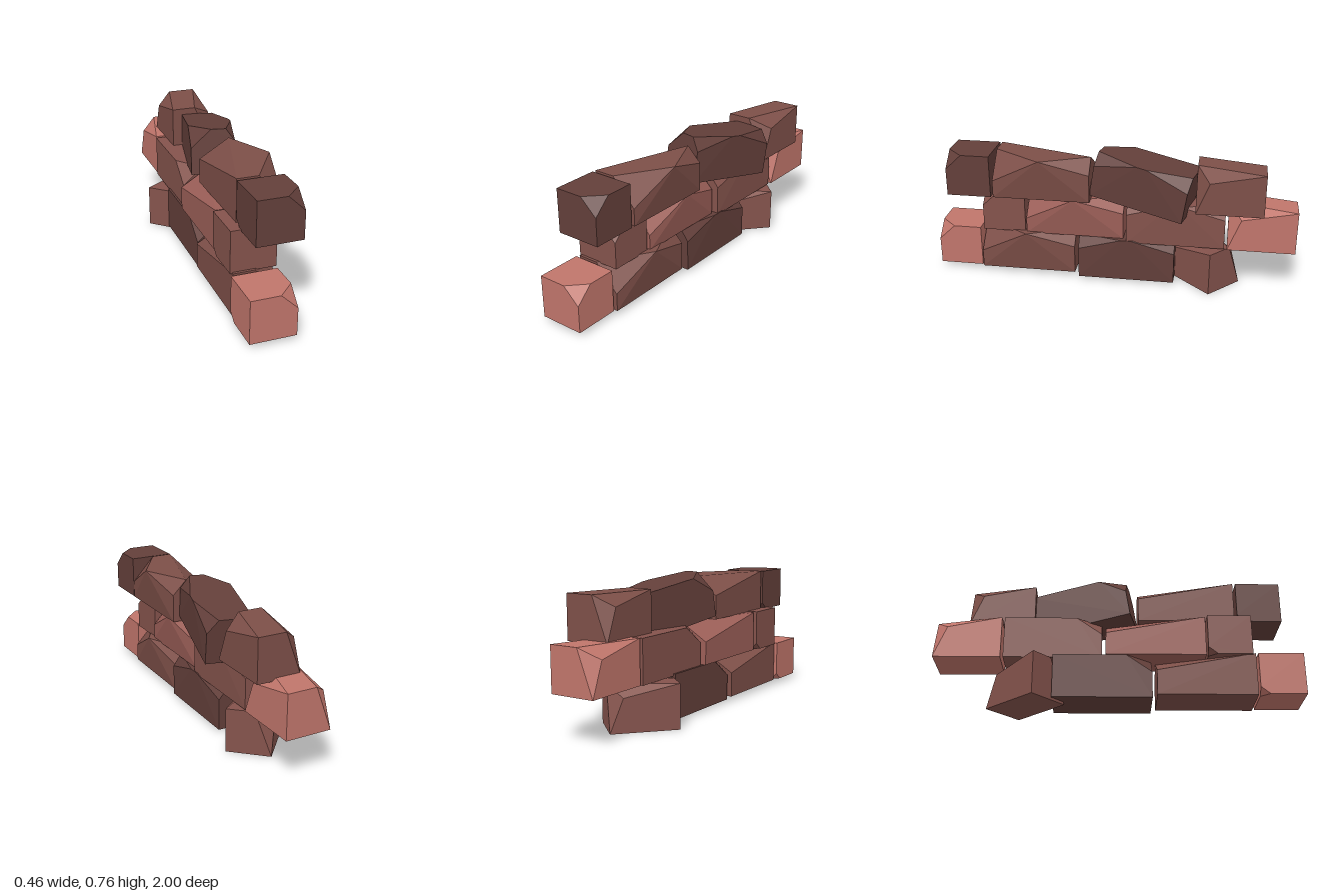
import * as THREE from 'three';
import { ConvexGeometry } from 'three/addons/geometries/ConvexGeometry.js';

// Stone block: a box whose chipped corners are each replaced by three points.
// size = [width, height, length]; chip = { s: [sx, sy, sz], d: [dx, dy, dz], bulge }
function stoneGeometry([w, h, l], chips, extra = []) {
  const pts = extra.map((p) => new THREE.Vector3(...p));
  for (const sx of [-1, 1]) for (const sy of [-1, 1]) for (const sz of [-1, 1]) {
    const c = new THREE.Vector3(sx * w / 2, sy * h / 2, sz * l / 2);
    const chip = chips.find(({ s }) => s[0] === sx && s[1] === sy && s[2] === sz);
    if (!chip) { pts.push(c); continue; }
    const [dx, dy, dz] = chip.d;
    pts.push(
      new THREE.Vector3(c.x - sx * dx, c.y, c.z),
      new THREE.Vector3(c.x, c.y - sy * dy, c.z),
      new THREE.Vector3(c.x + sx * (chip.bulge || 0), c.y, c.z - sz * dz)
    );
  }
  return new ConvexGeometry(pts);
}

// Short block with a small chip at the front corner
const shortStone = (size) => stoneGeometry(size, [
  { s: [1, 1, 1], d: [0.09, 0.085, 0.09] },
  { s: [-1, -1, -1], d: [0.04, 0.04, 0.05] },
]);

// Short block with two opposite corners hewn away
const hewnStone = (size) => {
  const [w, h, l] = size;
  return stoneGeometry(size, [
    { s: [1, 1, 1], d: [0.11, h, l] },
    { s: [-1, 1, -1], d: [0.09, h, l] },
  ], [
    [w / 2, h / 2 - 0.06, l / 2 - 0.07],
    [-w / 2, h / 2 - 0.06, -l / 2 + 0.07],
  ]);
};

// Long block with a bulging middle and a long sloping chip at the rear
const slopedStone = (size) => {
  const l = size[2];
  return stoneGeometry(size, [
    { s: [1, 1, 1], d: [0.13, 0.14, l / 2], bulge: 0.04 },
    { s: [1, 1, -1], d: [0.08, 0.08, l / 2], bulge: 0.04 },
    { s: [-1, 1, -1], d: [size[0] - 0.08, 0.1, l] },
  ]);
};

// Long block with chips on three top corners
const longStone = (size) => {
  const l = size[2];
  return stoneGeometry(size, [
    { s: [1, 1, 1], d: [0.05, 0.07, l * 0.45], bulge: 0.01 },
    { s: [1, 1, -1], d: [0.06, 0.07, l * 0.45], bulge: 0.01 },
    { s: [-1, 1, 1], d: [0.11, 0.1, 0.14] },
  ]);
};

const PALE = 0xc0756b, ROSE = 0x9c5f58, MID = 0x84534c, BROWN = 0x7d4f48, DARK = 0x633f3a;

export function createModel() {
  const wall = new THREE.Group();
  wall.name = 'stoneWall';

  const add = (name, color, geometry, position, yaw = 0, pitch = 0) => {
    const mesh = new THREE.Mesh(geometry, new THREE.MeshStandardMaterial({ color, flatShading: true }));
    mesh.name = name;
    mesh.position.set(...position);
    mesh.rotation.set(pitch, yaw, 0, 'YXZ');
    wall.add(mesh);
  };

  // Blocks laid square: [name, colour, shape, x range, y range, z range]
  const laid = [
    ['bottomFrontStone', PALE, shortStone, [-0.165, 0.08], [0.028, 0.262], [0.755, 1]],
    ['bottomSlopedStone', BROWN, slopedStone, [-0.15, 0.095], [0.028, 0.267], [0.21, 0.745]],
    ['bottomLongStone', DARK, longStone, [-0.137, 0.115], [0.015, 0.26], [-0.35, 0.185]],
    ['middleFrontStone', MID, shortStone, [-0.16, 0.085], [0.26, 0.49], [0.49, 0.73]],
    ['middleSlopedStone', ROSE, slopedStone, [-0.145, 0.095], [0.26, 0.487], [-0.065, 0.48]],
    ['middleLongStone', MID, longStone, [-0.125, 0.12], [0.248, 0.485], [-0.62, -0.085]],
    ['middleBackStone', PALE, hewnStone, [-0.12, 0.13], [0.25, 0.488], [-1, -0.635]],
    ['topFrontStone', DARK, shortStone, [-0.105, 0.14], [0.482, 0.717], [0.665, 0.91]],
    ['topSlopedStone', BROWN, slopedStone, [-0.1, 0.145], [0.485, 0.72], [0.115, 0.65]],
    ['topBackStone', BROWN, hewnStone, [-0.065, 0.18], [0.473, 0.708], [-0.82, -0.46]],
  ];
  for (const [name, color, shape, ...ranges] of laid) {
    const size = ranges.map(([a, b]) => b - a);
    const centre = ranges.map(([a, b]) => (a + b) / 2);
    add(name, color, shape(size), centre);
  }

  // Twisted stone at the bottom rear, tilted stone on top
  add('bottomTwistedStone', MID, hewnStone([0.238, 0.24, 0.36]), [-0.02, 0.12, -0.4975], -0.746);
  add('topTiltedStone', DARK, longStone([0.24, 0.245, 0.53]), [0.05, 0.592, -0.18], -0.22, -0.16);

  return wall;
}
